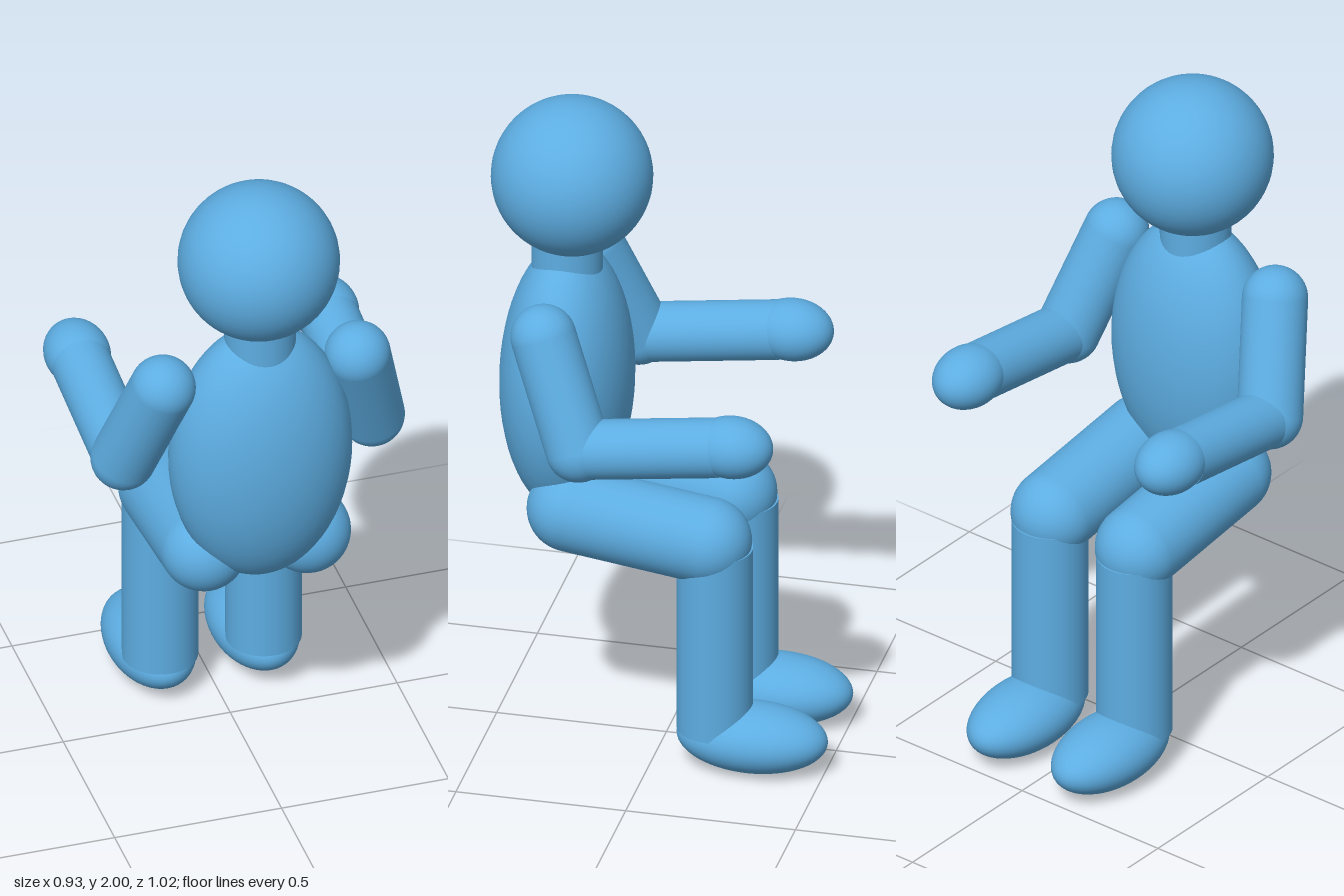
import * as THREE from 'three';

const V = (x, y, z) => new THREE.Vector3(x, y, z);

export function createModel() {
  const model = new THREE.Group();
  model.name = 'seatedFigure';
  const blue = new THREE.MeshStandardMaterial({ color: 0x5dade2 });
  blue.name = 'skyBlue';

  const add = (name, geometry, position) => {
    const mesh = new THREE.Mesh(geometry, blue);
    mesh.name = name;
    mesh.position.copy(position);
    model.add(mesh);
    return mesh;
  };

  // Ellipsoid with separate radii
  const ellipsoid = (name, centre, rx, ry, rz) =>
    add(name, new THREE.SphereGeometry(1, 48, 32).scale(rx, ry, rz), centre);

  // Limb between two joints, with round or flat ends
  const limb = (name, a, b, r, round) => {
    const axis = b.clone().sub(a);
    const length = axis.length();
    const geometry = round
      ? new THREE.CapsuleGeometry(r, length, 12, 40)
      : new THREE.CylinderGeometry(r, r, length, 40);
    const mesh = add(name, geometry, a.clone().lerp(b, 0.5));
    mesh.quaternion.setFromUnitVectors(V(0, 1, 0), axis.normalize());
  };

  // Head, neck and torso
  ellipsoid('head', V(0, 1.767, 0.278), 0.233, 0.233, 0.233);
  limb('neck', V(0, 1.42, 0.292), V(0, 1.6, 0.292), 0.103, false);
  ellipsoid('torso', V(0, 1.12, 0.292), 0.27, 0.42, 0.19);

  for (const [side, s] of [['left', 1], ['right', -1]]) {
    // Arm reaching forward
    const shoulder = V(s * 0.292, 1.392, 0.292);
    const elbow = V(s * 0.372, 1.083, 0.17);
    const wrist = V(s * 0.373, 1.14, -0.24);
    limb(side + 'UpperArm', shoulder, elbow, 0.095, true);
    limb(side + 'Forearm', elbow, wrist, 0.087, false);
    ellipsoid(side + 'Hand', V(s * 0.372, 1.146, -0.282), 0.095, 0.09, 0.12);

    // Bent leg
    const hip = V(s * 0.155, 0.773, 0.245);
    const knee = V(s * 0.155, 0.718, -0.16);
    limb(side + 'Thigh', hip, knee, 0.126, true);
    limb(side + 'Shin', V(s * 0.155, 0.7, -0.18), V(s * 0.155, 0.12, -0.18), 0.11, false);
    ellipsoid(side + 'Foot', V(s * 0.155, 0.1, -0.29), 0.127, 0.1, 0.221);
  }
  return model;
}
